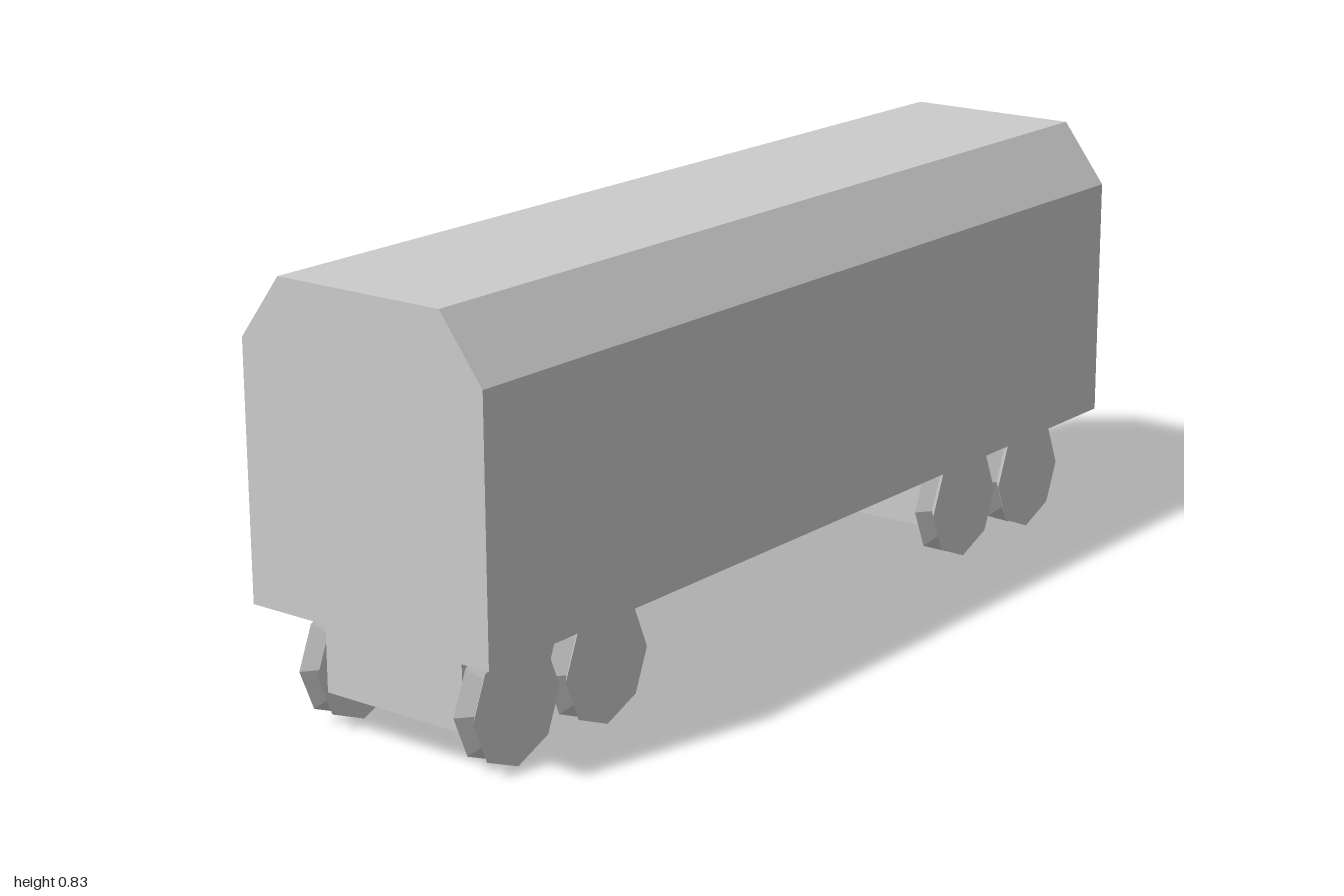
import * as THREE from 'three';

const material = new THREE.MeshStandardMaterial({ color: 0xcccccc, flatShading: true });

function addPart(parent, name, geometry, x = 0, y = 0, z = 0) {
  const mesh = new THREE.Mesh(geometry, material);
  mesh.name = name;
  mesh.position.set(x, y, z);
  parent.add(mesh);
  return mesh;
}

// Cross-section of the carriage: upright sides and a chamfered roof
function bodyOutline() {
  return new THREE.Shape([
    [-0.27, 0.234], [0.27, 0.234], [0.27, 0.713],
    [0.18, 0.832], [-0.18, 0.832], [-0.27, 0.713],
  ].map(([x, y]) => new THREE.Vector2(x, y)));
}

// Eight-sided wheel with a V-groove round the rim, axle along x
function wheelGeometry() {
  const profile = [[0, -0.022], [0.112, -0.022], [0.084, 0], [0.112, 0.022], [0, 0.022]]
    .map(([r, y]) => new THREE.Vector2(r, y));
  return new THREE.LatheGeometry(profile, 8).rotateZ(Math.PI / 2);
}

export function createModel() {
  const model = new THREE.Group();
  model.name = 'railCarriage';

  // Carriage body, with a framed end around the recessed back door
  const backZ = -0.915, recess = 0.022;
  const extrude = (shape, depth) =>
    new THREE.ExtrudeGeometry(shape, { depth, bevelEnabled: false });
  addPart(model, 'body', extrude(bodyOutline(), 1 - backZ - recess), 0, 0, backZ + recess);

  const endFrame = bodyOutline();
  endFrame.holes.push(new THREE.Path([
    [-0.134, 0.262], [-0.134, 0.684], [0.134, 0.684], [0.134, 0.262],
  ].map(([x, y]) => new THREE.Vector2(x, y))));
  addPart(model, 'backDoorFrame', extrude(endFrame, recess), 0, 0, backZ);

  // Two bogies, each a block with two pairs of wheels
  const wheel = wheelGeometry();
  for (const [name, z] of [['frontBogie', 0.733], ['backBogie', -0.647]]) {
    const bogie = new THREE.Group();
    bogie.name = name;
    bogie.position.z = z;
    model.add(bogie);
    addPart(bogie, 'bogieBlock', new THREE.BoxGeometry(0.314, 0.155, 0.416), 0, 0.1565, 0);
    for (const side of [-1, 1]) {
      for (const end of [-1, 1]) {
        addPart(bogie, 'wheel', wheel, side * 0.179, 0.114, end * 0.12);
      }
    }
  }

  // Coupler: a square neck ending in a flared head
  const neckW = 0.122, neckH = 0.067, y = 0.188;
  addPart(model, 'couplerNeck', new THREE.BoxGeometry(neckW, neckH, 0.117), 0, y, -0.9085);
  const head = new THREE.BoxGeometry(neckW, neckH, 0.033);
  const p = head.attributes.position;
  for (let i = 0; i < p.count; i++) {
    if (p.getZ(i) < 0) p.setXY(i, p.getX(i) * 1.4, p.getY(i) * 1.5);
  }
  head.computeVertexNormals();
  addPart(model, 'couplerHead', head, 0, y, -0.9835);

  return model;
}
